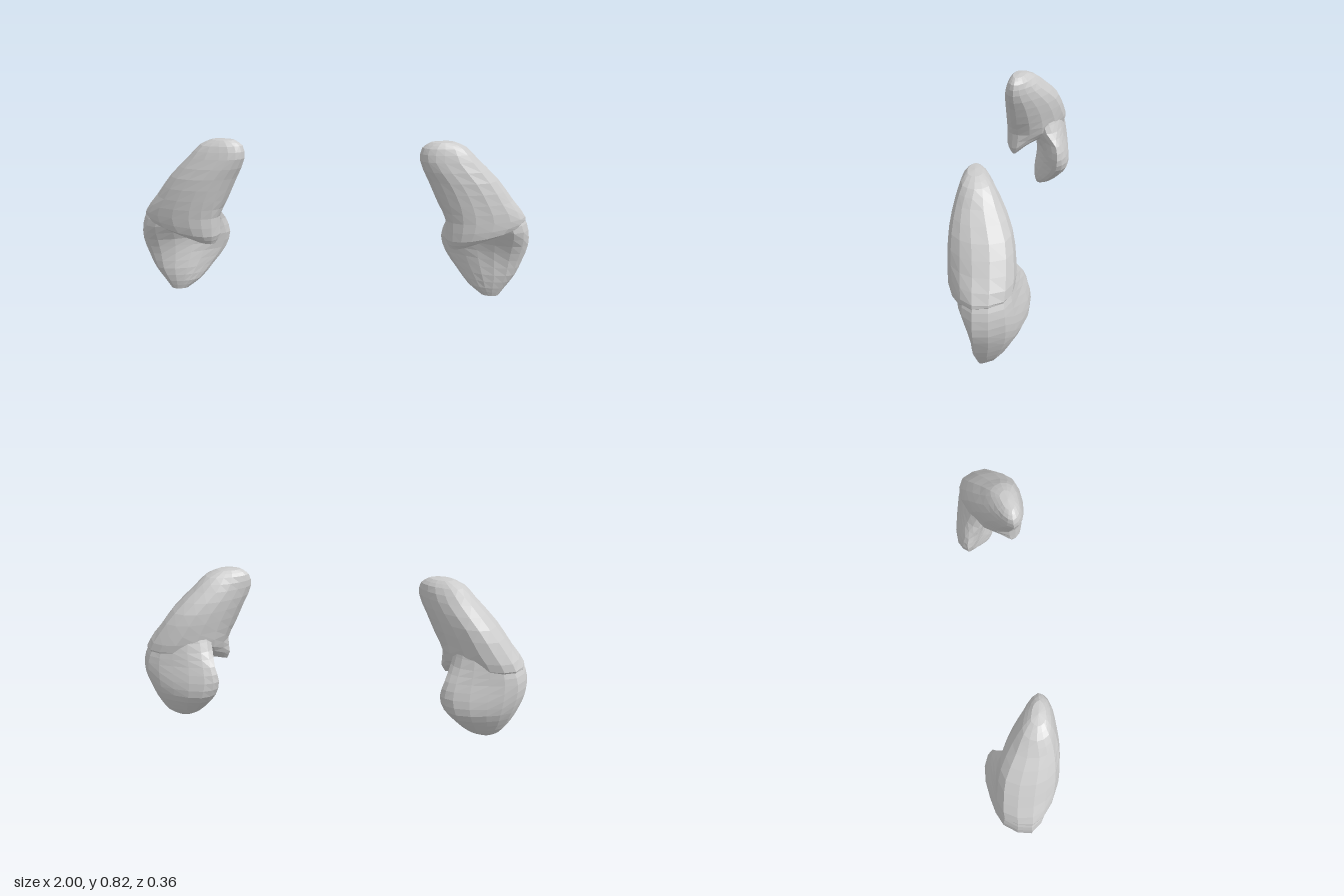
import * as THREE from 'three';

const SIDES = 16;

// Cross-sections from bottom to top: y, eight [x, z] points running inner, front,
// outer, back, and an optional tilt of the ring along x and z.
const LOWER = [
  [0.005, [[.775, 0], [.785, .02], [.81, .03], [.84, .03], [.86, .015], [.85, 0], [.82, -.015], [.785, -.01]]],
  [0.05, [[.71, -.03], [.74, .01], [.79, .035], [.86, .038], [.895, .005], [.875, -.05], [.81, -.075], [.74, -.07]]],
  [0.12, [[.65, -.08], [.69, -.03], [.77, .025], [.89, .042], [.94, .01], [.905, -.08], [.81, -.125], [.69, -.125]]],
  [0.2, [[.59, -.12], [.64, -.07], [.75, 0], [.9, .04], [.972, .01], [.925, -.11], [.8, -.165], [.65, -.175]]],
  [0.28, [[.565, -.13], [.62, -.07], [.74, -.01], [.91, .055], [.997, .01], [.94, -.12], [.8, -.165], [.63, -.172]]],
  [0.36, [[.585, -.12], [.635, -.05], [.74, .03], [.91, .09], [.993, .012], [.94, -.118], [.8, -.147], [.64, -.147]]],
  [0.43, [[.61, -.06], [.65, 0], [.76, .06], [.88, .09], [.965, .012], [.915, -.108], [.8, -.134], [.655, -.115]]],
  [0.52, [[.63, -.03], [.67, 0], [.76, .04], [.84, .05], [.87, .01], [.84, -.08], [.77, -.11], [.67, -.08]]],
];
const UPPER = [
  [0.292, [[.59, .125], [.61, .145], [.66, .152], [.75, .125], [.84, .05], [.8, -.02], [.72, .01], [.63, .085]], .22, -.35],
  [0.34, [[.567, .11], [.6, .162], [.69, .178], [.85, .13], [.97, .015], [.92, -.1], [.78, -.11], [.625, .035]], .1, -.17],
  [0.43, [[.568, .1], [.6, .16], [.71, .18], [.885, .118], [.973, .015], [.925, -.112], [.8, -.136], [.61, -.03]]],
  [0.52, [[.525, .1], [.58, .165], [.69, .18], [.84, .132], [.905, .025], [.87, -.11], [.74, -.13], [.59, -.035]]],
  [0.63, [[.475, .1], [.53, .16], [.63, .178], [.77, .142], [.822, .045], [.785, -.09], [.67, -.1], [.54, -.01]]],
  [0.73, [[.432, .105], [.47, .15], [.55, .162], [.685, .138], [.72, .07], [.69, -.032], [.58, -.03], [.485, .035]]],
  [0.793, [[.44, .1], [.475, .135], [.55, .142], [.635, .122], [.658, .065], [.62, .01], [.55, .02], [.475, .055]]],
  [0.82, [[.48, .1], [.51, .118], [.55, .12], [.585, .105], [.598, .075], [.57, .05], [.54, .055], [.5, .07]]],
];

// Skins smoothed cross-sections into a closed faceted body; side is +1 or -1.
function lobe(name, sections, steps, side) {
  const rings = sections.map(([y, pts, tiltX = 0, tiltZ = 0]) => {
    const curve = new THREE.CatmullRomCurve3(pts.map(([x, z]) =>
      new THREE.Vector3(x, y + tiltX * (x - 0.6) + tiltZ * (z - 0.14), z)), true, 'centripetal');
    return Array.from({ length: SIDES }, (_, j) => curve.getPoint(j / SIDES));
  });
  const columns = Array.from({ length: SIDES }, (_, j) =>
    new THREE.CatmullRomCurve3(rings.map((r) => r[j]), false, 'centripetal'));

  const pos = [], index = [];
  const tri = (a, b, c) => (side > 0 ? index.push(a, b, c) : index.push(a, c, b));
  for (let i = 0; i <= steps; i++) {
    for (const column of columns) {
      const p = column.getPoint(i / steps);
      pos.push(side * p.x, p.y, p.z);
    }
  }
  for (let i = 0; i < steps; i++) {
    for (let j = 0; j < SIDES; j++) {
      const a = i * SIDES + j, b = i * SIDES + (j + 1) % SIDES;
      tri(a, b, a + SIDES);
      tri(b, b + SIDES, a + SIDES);
    }
  }
  // Slightly domed caps at both ends
  for (const [ring, dir] of [[0, -1], [steps, 1]]) {
    const first = ring * SIDES, apex = pos.length / 3;
    const c = new THREE.Vector3();
    for (let j = 0; j < SIDES; j++) c.add(new THREE.Vector3().fromArray(pos, (first + j) * 3));
    c.divideScalar(SIDES);
    pos.push(c.x, c.y + dir * 0.005, c.z);
    for (let j = 0; j < SIDES; j++) {
      const a = first + j, b = first + (j + 1) % SIDES;
      if (dir > 0) tri(apex, a, b);
      else tri(apex, b, a);
    }
  }
  const geometry = new THREE.BufferGeometry();
  geometry.setAttribute('position', new THREE.Float32BufferAttribute(pos, 3));
  geometry.setIndex(index);
  geometry.computeVertexNormals();
  const mesh = new THREE.Mesh(geometry,
    new THREE.MeshStandardMaterial({ color: 0xcccccc, flatShading: true }));
  mesh.name = name;
  return mesh;
}

export function createModel() {
  const model = new THREE.Group();
  model.name = 'pairedLobes';
  for (const [name, side] of [['leftBody', 1], ['rightBody', -1]]) {
    const body = new THREE.Group();
    body.name = name;
    // Lower lobe with the inner rear horn, then the upper lobe with its overhanging front lip
    body.add(lobe('lowerLobe', LOWER, 14, side), lobe('upperLobe', UPPER, 14, side));
    model.add(body);
  }
  return model;
}
